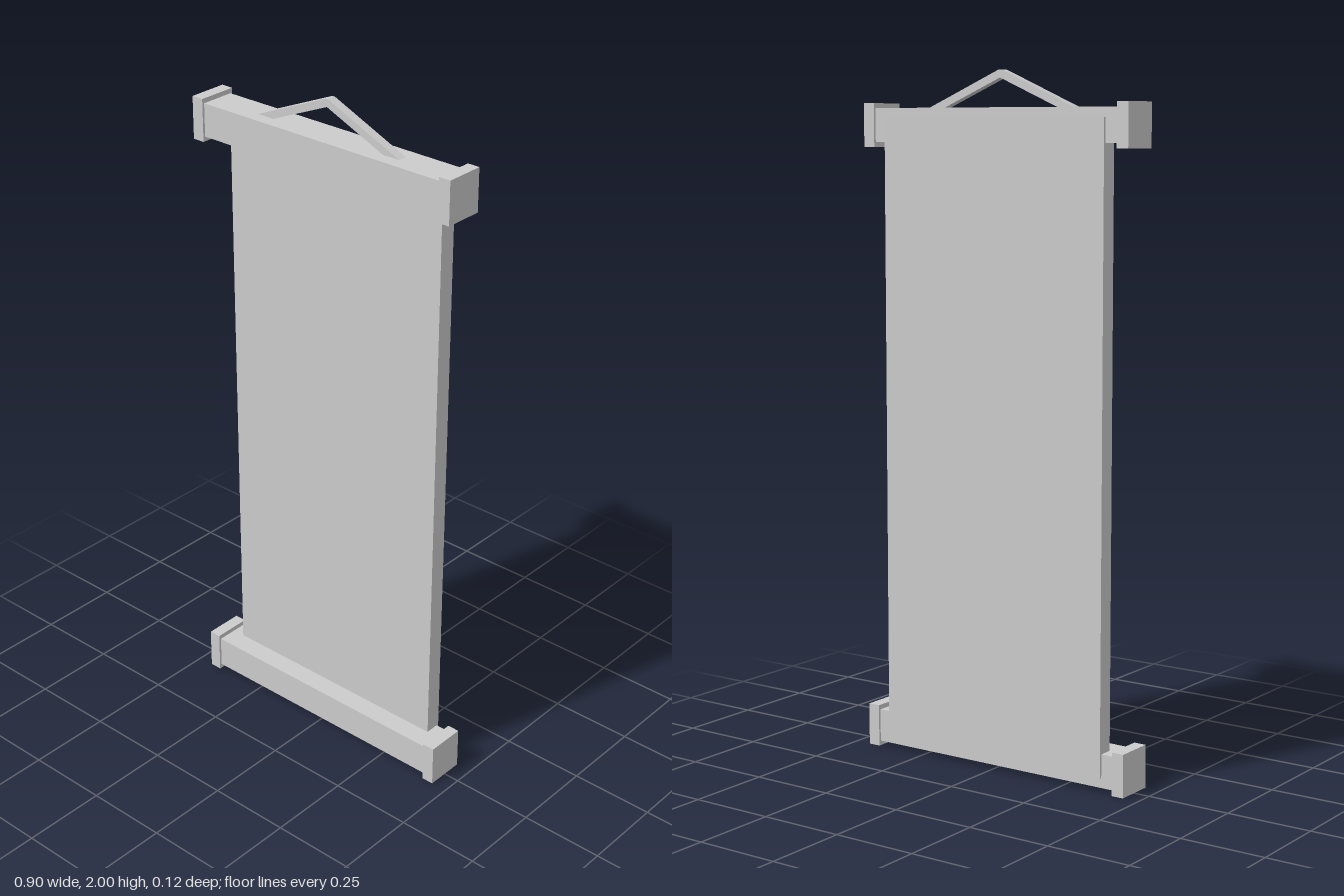
import * as THREE from 'three';

export function createModel() {
  const group = new THREE.Group();
  group.name = 'hangingScroll';
  const material = new THREE.MeshStandardMaterial({ color: 0xcccccc, flatShading: true });

  const add = (name, geometry, x, y, z) => {
    const mesh = new THREE.Mesh(geometry, material);
    mesh.name = name;
    mesh.position.set(x, y, z);
    group.add(mesh);
  };

  // Square rods with a wider cap on each end
  for (const [label, y] of [['bottom', 0.0625], ['top', 1.8475]]) {
    add(label + 'Rod', new THREE.BoxGeometry(0.83, 0.097, 0.104), 0, y, 0);
    for (const side of [-1, 1]) {
      const name = label + (side > 0 ? 'Left' : 'Right') + 'Cap';
      add(name, new THREE.BoxGeometry(0.037, 0.125, 0.118), side * 0.4325, y, 0);
    }
  }

  // Hanging sheet, set into the rods and just proud of their backs
  add('sheet', new THREE.BoxGeometry(0.75, 1.825, 0.05), 0, 0.955, -0.0345);

  // Bent hanging strap, its feet resting on the top rod
  const strap = new THREE.Shape([
    [-0.25, 1.895], [-0.195, 1.895], [0, 1.978], [0.195, 1.895],
    [0.25, 1.895], [0.005, 2], [-0.005, 2],
  ].map(([x, y]) => new THREE.Vector2(x, y)));
  const depth = 0.027;
  add('hangingStrap', new THREE.ExtrudeGeometry(strap, { depth, bevelEnabled: false }), 0, 0, -depth / 2);

  return group;
}
